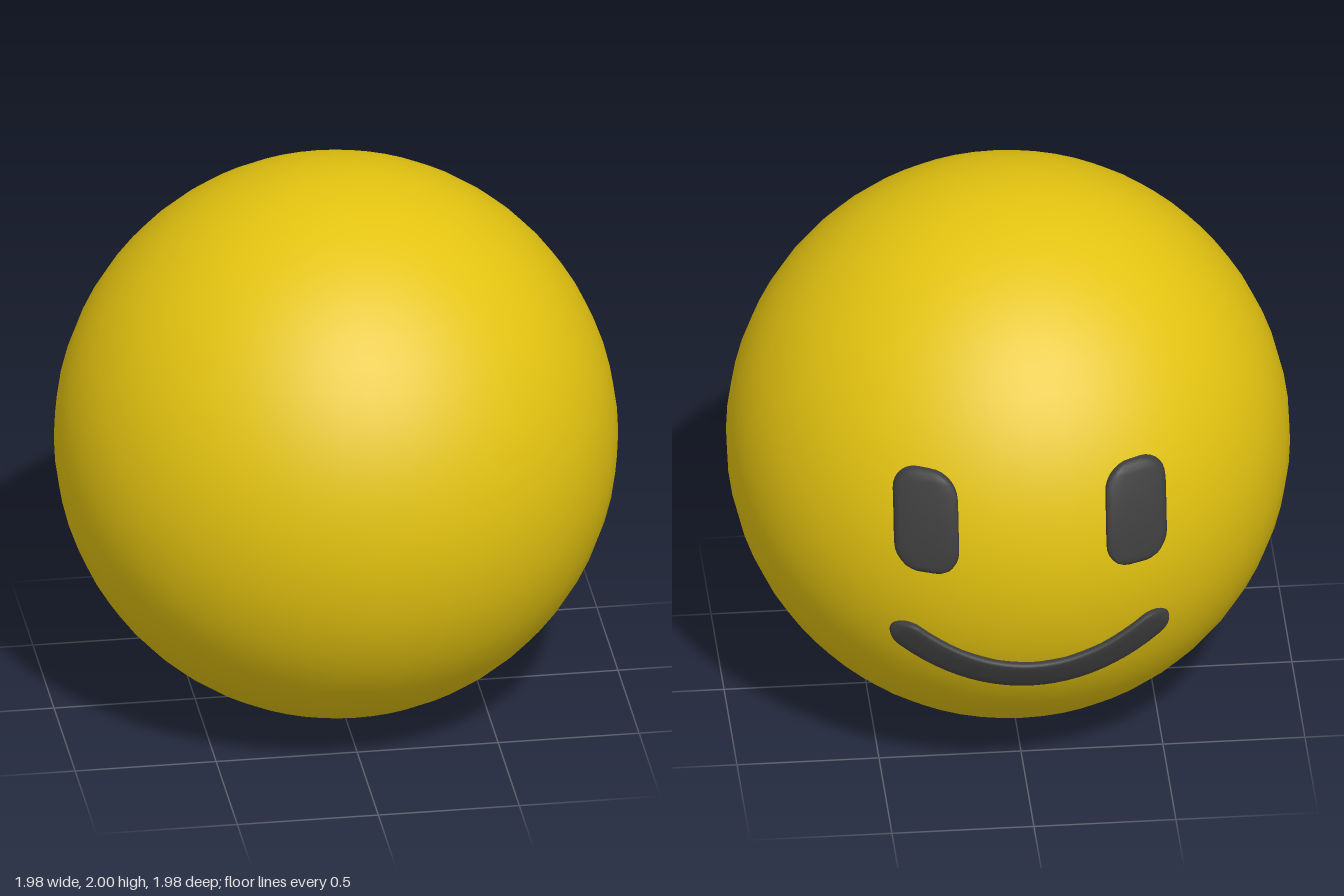
import * as THREE from 'three';

const R = 0.99; // ball radius where the face sits

// A raised, soft-edged bar laid over the back of the ball.
// path(t) gives its centre line in x/y for t in 0..1, corner is the rounding of its ends.
function faceBar(path, length, halfWidth, corner) {
  // cross-section: position across the bar, lift over the ball
  const section = [[-1, -0.03], [-1, 0.012], [-0.95, 0.022], [-0.82, 0.028], [-0.4, 0.028], [0, 0.028],
    [0.4, 0.028], [0.82, 0.028], [0.95, 0.022], [1, 0.012], [1, -0.03]];
  // stations along the bar, close together at the rounded ends
  const ends = 7, middle = 22, d = [];
  for (let i = 0; i <= ends; i++) d.push(corner * (1 - Math.cos((i / ends) * Math.PI / 2)));
  const stations = [...d];
  for (let i = 1; i < middle; i++) stations.push(corner + (length - 2 * corner) * i / middle);
  stations.push(...d.reverse().map(v => length - v));
  // closing rows sunk into the ball make the end walls
  const rows = [[0, true], ...stations.map(s => [s, false]), [length, true]];

  const positions = [], indices = [];
  for (const [s, sunk] of rows) {
    const t = s / length;
    const c = path(t);
    const a = path(t - 0.001), b = path(t + 0.001);
    const tangent = b.sub(a).normalize();
    const e = Math.min(s, length - s, corner);
    const w = halfWidth - corner + Math.sqrt(Math.max(0, corner * corner - (corner - e) ** 2));
    const soft = Math.min(1, 0.4 + Math.sqrt(Math.max(0, e) / 0.02) * 0.6);
    for (const [v, lift] of section) {
      const x = c.x - tangent.y * w * v;
      const y = c.y + tangent.x * w * v;
      const h = R + (sunk ? -0.03 : lift > 0 ? lift * soft : lift);
      positions.push(x, y, -Math.sqrt(h * h - x * x - (y - 1) ** 2));
    }
  }
  const n = section.length;
  for (let i = 0; i < rows.length - 1; i++) {
    for (let j = 0; j < n - 1; j++) {
      const a = i * n + j, b = a + n;
      indices.push(a, a + 1, b, b, a + 1, b + 1);
    }
  }
  const geometry = new THREE.BufferGeometry();
  geometry.setAttribute('position', new THREE.Float32BufferAttribute(positions, 3));
  geometry.setIndex(indices);
  geometry.computeVertexNormals();
  return geometry;
}

export function createModel() {
  const yellow = new THREE.MeshStandardMaterial({ color: 0xe3c310 });
  yellow.name = 'yellow';
  const charcoal = new THREE.MeshStandardMaterial({ color: 0x3e3e3e });
  charcoal.name = 'charcoal';

  const model = new THREE.Group();
  model.name = 'smilingBall';
  const add = (name, geometry, material) => {
    const mesh = new THREE.Mesh(geometry, material);
    mesh.name = name;
    model.add(mesh);
    return mesh;
  };

  // Ball
  const ball = add('ball', new THREE.SphereGeometry(1, 48, 32), yellow);
  ball.scale.set(R, 1, R);
  ball.position.y = 1;

  // Eyes: upright rounded bars
  for (const [name, side] of [['leftEye', 1], ['rightEye', -1]]) {
    const path = t => new THREE.Vector2(side * 0.37, 1.03 + 0.37 * t);
    add(name, faceBar(path, 0.37, 0.11, 0.09), charcoal);
  }

  // Mouth: one curved bar with round ends
  const smile = t => {
    const x = 0.48 * (2 * t - 1);
    return new THREE.Vector2(x, 0.57 + 0.16 * (x / 0.43) ** 2);
  };
  add('mouth', faceBar(smile, 1.04, 0.06, 0.06), charcoal);

  // The winding must face outwards, towards -z
  model.children.forEach(mesh => {
    if (mesh === ball) return;
    const normal = mesh.geometry.attributes.normal;
    let sum = 0;
    for (let i = 0; i < normal.count; i++) sum += normal.getZ(i);
    if (sum > 0) {
      mesh.geometry.index.array.reverse();
      mesh.geometry.computeVertexNormals();
    }
  });
  return model;
}
